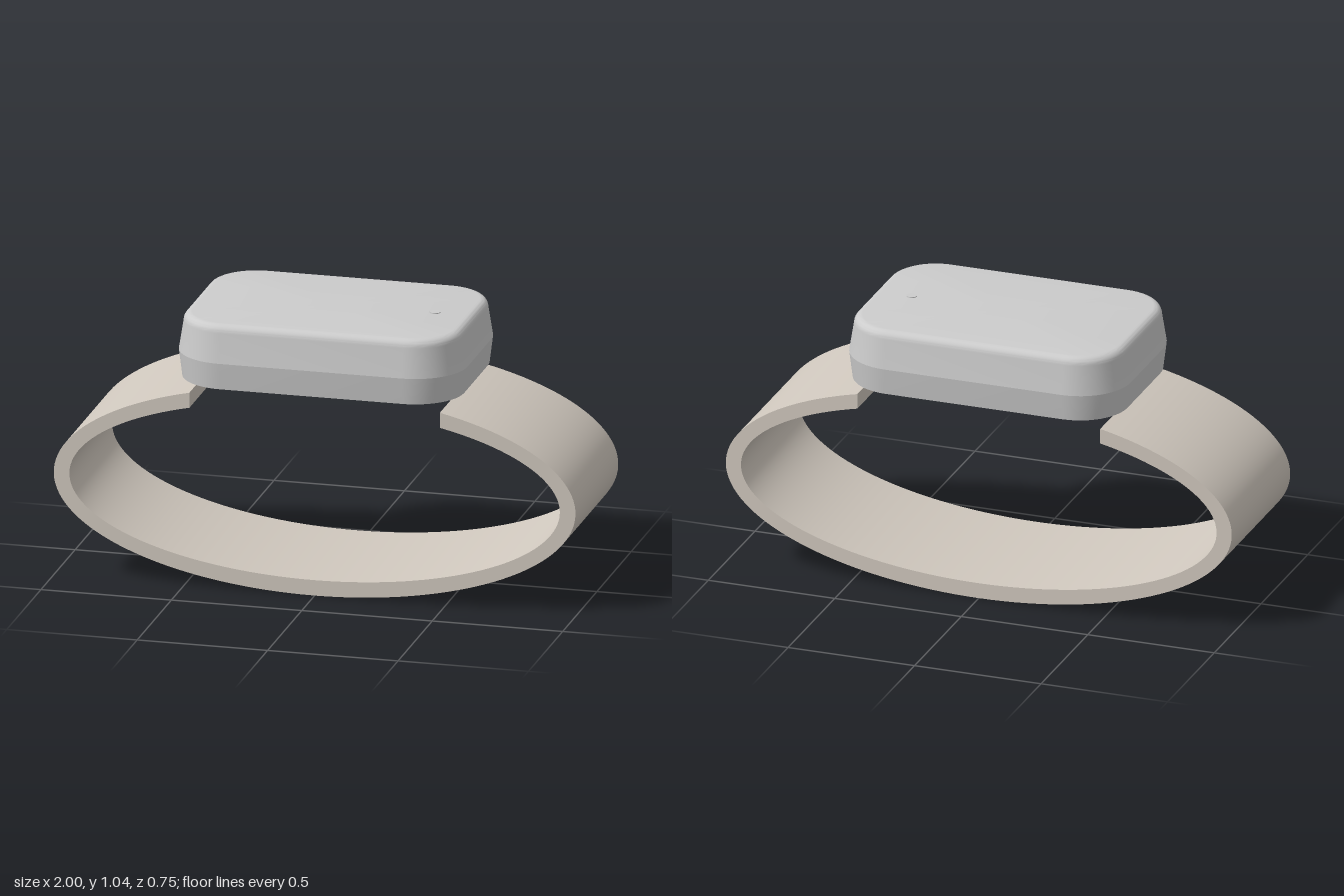
import * as THREE from 'three';
import { toCreasedNormals } from 'three/addons/utils/BufferGeometryUtils.js';

const HALF_X = 0.55, HALF_Z = 0.375, CORNER = 0.2;

function addMesh(parent, name, geometry, color, x = 0, y = 0, z = 0) {
  const mesh = new THREE.Mesh(geometry, new THREE.MeshStandardMaterial({ color }));
  mesh.name = name;
  mesh.position.set(x, y, z);
  parent.add(mesh);
  return mesh;
}

// Rounded rectangle in plan, shrunk evenly by an inset.
function roundedRing(inset, y, steps = 12) {
  const r = CORNER - inset, points = [];
  for (let corner = 0; corner < 4; corner++) {
    const sx = corner === 0 || corner === 3 ? 1 : -1;
    const sz = corner < 2 ? 1 : -1;
    for (let i = 0; i <= steps; i++) {
      const a = (corner + i / steps) * Math.PI / 2;
      points.push([sx * (HALF_X - CORNER) + r * Math.cos(a), y, sz * (HALF_Z - CORNER) + r * Math.sin(a)]);
    }
  }
  return points;
}

// Case: stacked rounded rectangles, widest at the waist, with a soft top edge.
function caseGeometry() {
  const profile = [[0.013, 0.79], [0, 0.893], [0.018, 1.005]];
  for (let i = 1; i <= 8; i++) {
    const a = (i / 8) * Math.PI / 2;
    profile.push([0.018 + 0.032 * (1 - Math.cos(a)), 1.005 + 0.032 * Math.sin(a)]);
  }
  const rings = profile.map(([inset, y]) => roundedRing(inset, y));
  const n = rings[0].length, positions = rings.flat(2), index = [];
  for (let k = 0; k < rings.length - 1; k++) {
    for (let i = 0; i < n; i++) {
      const a = k * n + i, b = k * n + (i + 1) % n;
      index.push(a, a + n, b, b, a + n, b + n);
    }
  }
  // Flat bottom and top
  const bottom = positions.length / 3, top = bottom + 1, last = (rings.length - 1) * n;
  positions.push(0, profile[0][1], 0, 0, profile[profile.length - 1][1], 0);
  for (let i = 0; i < n; i++) {
    const j = (i + 1) % n;
    index.push(bottom, i, j, top, last + j, last + i);
  }
  const geometry = new THREE.BufferGeometry();
  geometry.setAttribute('position', new THREE.Float32BufferAttribute(positions, 3));
  geometry.setIndex(index);
  return toCreasedNormals(geometry, 0.25);
}

// Band: open elliptical loop, both ends cut upright at x = ±gap.
function bandGeometry(width, gap) {
  const arc = (rx, ry) => {
    const start = Math.acos(gap / rx), sweep = Math.PI + 2 * start, points = [];
    for (let i = 0; i <= 112; i++) {
      const a = start - (i / 112) * sweep;
      points.push(new THREE.Vector2(rx * Math.cos(a), 0.4 + ry * Math.sin(a)));
    }
    return points;
  };
  const shape = new THREE.Shape([...arc(1, 0.4), ...arc(0.94, 0.34).reverse()]);
  const geometry = new THREE.ExtrudeGeometry(shape, { depth: width, bevelEnabled: false });
  geometry.translate(0, 0, -width / 2);
  return toCreasedNormals(geometry, 0.5);
}

export function createModel() {
  const model = new THREE.Group();
  model.name = 'wristDevice';

  addMesh(model, 'band', bandGeometry(0.625, 0.48), 0xd0c8be);
  addMesh(model, 'case', caseGeometry(), 0xcccccc);

  // Small indicator on the top face
  addMesh(model, 'indicator', new THREE.CylinderGeometry(0.02, 0.02, 0.008, 24), 0xd8d8d8, 0.38, 1.036, 0);

  // Sensor disc under the case, with two lenses
  addMesh(model, 'sensorDisc', new THREE.CylinderGeometry(0.182, 0.182, 0.022, 64), 0x15171a, 0, 0.784, 0);
  for (const side of [-1, 1]) {
    addMesh(model, side > 0 ? 'leftLens' : 'rightLens',
      new THREE.CylinderGeometry(0.031, 0.031, 0.008, 32), 0x3a7080, side * 0.07, 0.772, 0);
  }
  return model;
}
